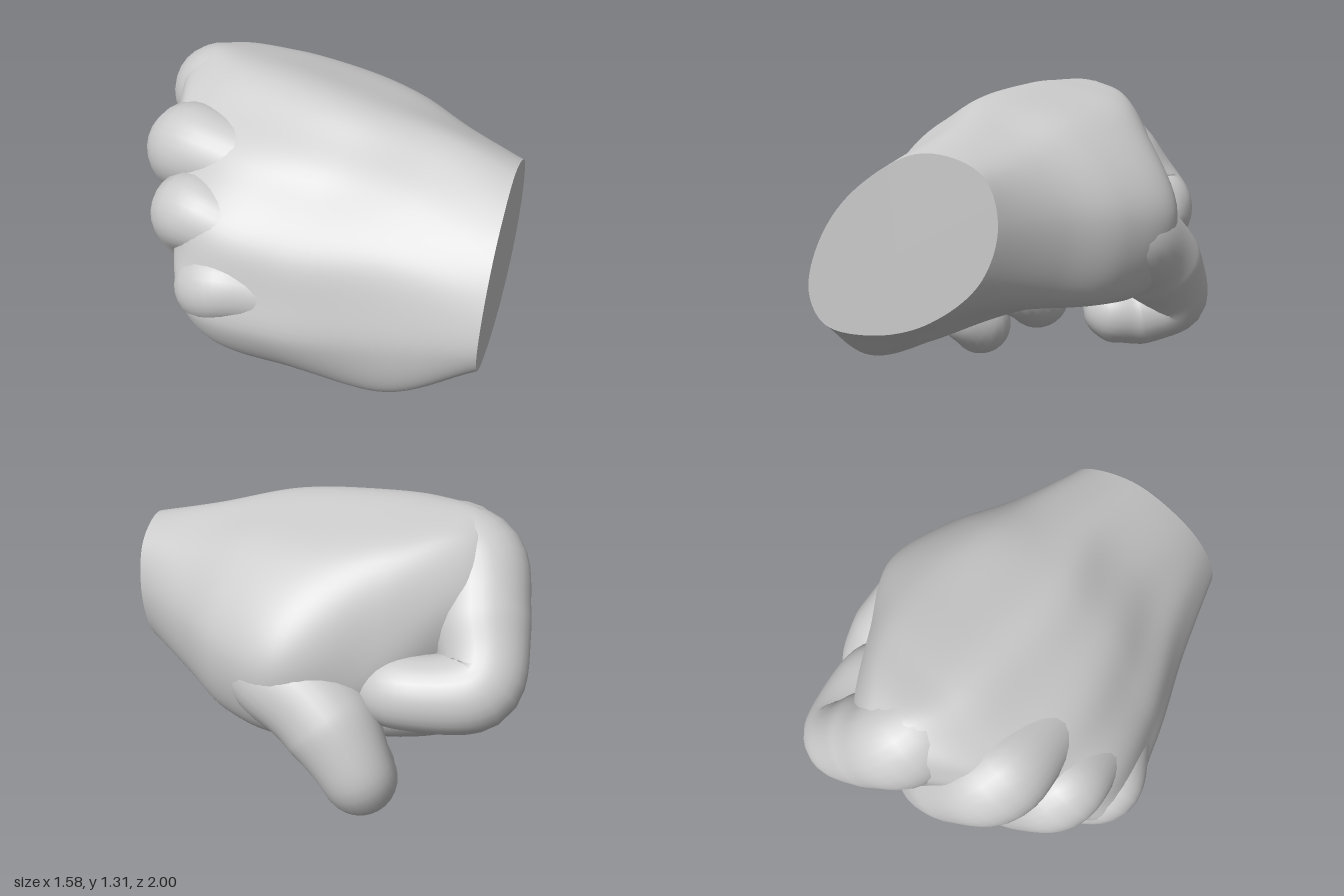
import * as THREE from 'three';
import { mergeVertices } from 'three/addons/utils/BufferGeometryUtils.js';

const grey = new THREE.MeshStandardMaterial({ color: 0xcccccc });
const vec = (p) => new THREE.Vector3(p[0], p[1], p[2]);

function named(name, geometry) {
  const mesh = new THREE.Mesh(geometry, grey);
  mesh.name = name;
  return mesh;
}

// Weld seams so the shading is smooth all over
function smooth(geometry) {
  geometry.deleteAttribute('uv');
  geometry.deleteAttribute('normal');
  const welded = mergeVertices(geometry, 1e-5);
  welded.computeVertexNormals();
  return welded;
}

// Tube through joints [x, y, z, radius], rounded at both ends
function digit(name, joints) {
  const curve = new THREE.CatmullRomCurve3(joints.map(vec));
  const rows = 84, sides = 28, length = curve.getLength();
  const geometry = new THREE.TubeGeometry(curve, rows, 1, sides);
  const pos = geometry.attributes.position, v = new THREE.Vector3();
  for (let i = 0; i <= rows; i++) {
    const u = i / rows, centre = curve.getPointAt(u);
    const t = curve.getUtoTmapping(u) * (joints.length - 1);
    const k = Math.min(Math.floor(t), joints.length - 2);
    const f = THREE.MathUtils.smoothstep(t - k, 0, 1);
    let r = THREE.MathUtils.lerp(joints[k][3], joints[k + 1][3], f);
    // slimmer between joints
    r *= 1 - 0.03 * Math.sin(Math.PI * (t - k)) ** 2;
    const d = Math.min(u, 1 - u) * length / r;
    if (d < 1) r *= Math.sqrt(Math.max(1e-4, 1 - (1 - d) ** 2));
    for (let j = 0; j <= sides; j++) {
      const n = i * (sides + 1) + j;
      v.fromBufferAttribute(pos, n).sub(centre).multiplyScalar(r).add(centre);
      pos.setXYZ(n, v.x, v.y, v.z);
    }
  }
  return named(name, smooth(geometry));
}

// Cross-sections from wrist to knuckles: little-finger edge, over the back, thumb side, palm
const sections = [
  { z: 0.9, slope: -0.37, pts: [[-.26, .52], [-.2, .75], [-.05, .95], [.2, 1.09], [.42, 1.02], [.48, .83], [.41, .6], [.2, .42], [-.02, .36], [-.2, .39]] },
  { z: 0.55, slope: -0.2, pts: [[-.43, .45], [-.34, .8], [-.12, 1.03], [.15, 1.17], [.45, 1.06], [.59, .82], [.52, .51], [.25, .39], [-.05, .23], [-.33, .15]] },
  { z: 0.2, slope: -0.05, pts: [[-.64, .42], [-.56, .78], [-.31, 1.08], [0, 1.25], [.45, 1.14], [.71, .82], [.63, .45], [.34, .38], [-.02, .27], [-.42, .13]] },
  { z: -0.15, slope: 0, pts: [[-.77, .49], [-.67, .85], [-.42, 1.1], [-.05, 1.29], [.46, 1.16], [.76, .8], [.66, .45], [.35, .37], [-.05, .31], [-.57, .21]] },
  { z: -0.45, slope: 0, pts: [[-.5, .72], [-.53, .92], [-.4, 1.11], [-.08, 1.3], [.35, 1.2], [.53, .86], [.52, .62], [.25, .5], [-.05, .42], [-.36, .42]] },
  { z: -0.7, slope: 0, pts: [[-.2, .88], [-.23, 1.05], [-.17, 1.19], [-.02, 1.28], [.16, 1.23], [.29, 1.02], [.28, .82], [.17, .62], [0, .59], [-.14, .7]] },
];
// last section closes in behind the index knuckle
sections.push({
  z: -0.84, slope: 0,
  pts: sections[5].pts.map(([x, y]) => [0.04 + (x - 0.04) * 0.45, 1.0 + (y - 1.0) * 0.45]),
});

function buildPalm() {
  const rows = 56, cols = 100, count = sections[0].pts.length;
  // one lengthwise curve per section point
  const rails = sections[0].pts.map((_, k) => new THREE.CatmullRomCurve3(
    sections.map((s) => new THREE.Vector3(s.pts[k][0], s.pts[k][1], s.z + s.slope * s.pts[k][0]))));
  const pos = [], index = [], rim = [];
  const middle = new THREE.Vector3();
  for (let i = 0; i <= rows; i++) {
    const v = i / rows;
    const ring = rails.map((rail) => rail.getPoint(v));
    middle.set(0, 0, 0);
    ring.forEach((p) => middle.addScaledVector(p, 1 / count));
    const loop = new THREE.CatmullRomCurve3(ring, true);
    for (let j = 0; j < cols; j++) {
      const p = loop.getPoint(j / cols), u = j / cols * count;
      // grooves between the tendons on the back of the hand
      const fade = Math.sin(Math.PI * v) * (u < 4 ? 1 : 0);
      const groove = 1 - 0.03 * fade * Math.sin(Math.PI * u) ** 2;
      p.sub(middle).multiplyScalar(groove).add(middle);
      pos.push(p.x, p.y, p.z);
      if (i === 0) rim.push(p);
      if (i < rows) {
        const a = i * cols + j, b = i * cols + (j + 1) % cols;
        index.push(a, b, a + cols, b, b + cols, a + cols);
      }
    }
  }
  // closed end behind the knuckles
  pos.push(middle.x, middle.y, middle.z);
  for (let j = 0; j < cols; j++) {
    index.push(rows * cols + j, rows * cols + (j + 1) % cols, (rows + 1) * cols);
  }
  const body = new THREE.BufferGeometry();
  body.setAttribute('position', new THREE.Float32BufferAttribute(pos, 3));
  body.setIndex(index);
  body.computeVertexNormals();

  // flat cut across the wrist
  const centre = new THREE.Vector3();
  rim.forEach((p) => centre.addScaledVector(p, 1 / cols));
  const cap = new THREE.BufferGeometry().setFromPoints(
    rim.flatMap((p, j) => [centre, rim[(j + 1) % cols], p]));
  cap.computeVertexNormals();
  return [named('palm', body), named('wristCut', cap)];
}

// Joints from inside the hand through knuckle, middle joint, end joint and tip
const digits = {
  indexFinger: [[.14, .92, .4, .14], [.03, 1.06, -.25, .2], [0, 1.07, -.65, .22], [.13, .89, -.75, .21], [.3, .69, -.82, .178], [.43, .65, -.54, .155], [.36, .63, -.4, .14], [.15, .64, -.35, .12]],
  middleFinger: [[-.1, .8, .45, .14], [-.28, .94, -.12, .19], [-.35, .97, -.48, .205], [-.18, .72, -.58, .21], [-.03, .46, -.6, .178], [.24, .46, -.34, .16], [.22, .5, -.2, .14], [.02, .54, -.12, .12]],
  ringFinger: [[-.25, .65, .5, .13], [-.46, .74, .02, .165], [-.54, .8, -.3, .18], [-.38, .53, -.39, .187], [-.2, .275, -.42, .165], [.03, .29, -.17, .15], [.02, .35, -.04, .13], [-.12, .42, .03, .11]],
  littleFinger: [[-.25, .5, .5, .12], [-.45, .54, .2, .14], [-.63, .56, -.1, .165], [-.49, .36, -.18, .178], [-.34, .157, -.17, .157], [-.18, .155, 0, .14], [-.2, .22, .1, .12], [-.3, .3, .12, .1]],
  thumb: [[.34, .74, .4, .16], [.555, .67, -.06, .22], [.59, .52, -.31, .2], [.6, .31, -.46, .155], [.47, .25, -.38, .16], [.38, .25, -.3, .15], [.25, .26, -.24, .12]],
};

export function createModel() {
  const fist = new THREE.Group();
  fist.name = 'fist';
  fist.add(...buildPalm());
  for (const [name, joints] of Object.entries(digits)) fist.add(digit(name, joints));

  // thumbnail
  const nail = named('thumbnail', new THREE.SphereGeometry(1, 24, 16));
  nail.scale.set(0.06, 0.075, 0.022);
  nail.position.set(0.5, 0.137, -0.462);
  nail.up.set(-0.78, -0.1, 0.6);
  nail.lookAt(nail.position.clone().add(new THREE.Vector3(0.35, -0.65, -0.6)));
  fist.add(nail);
  return fist;
}
